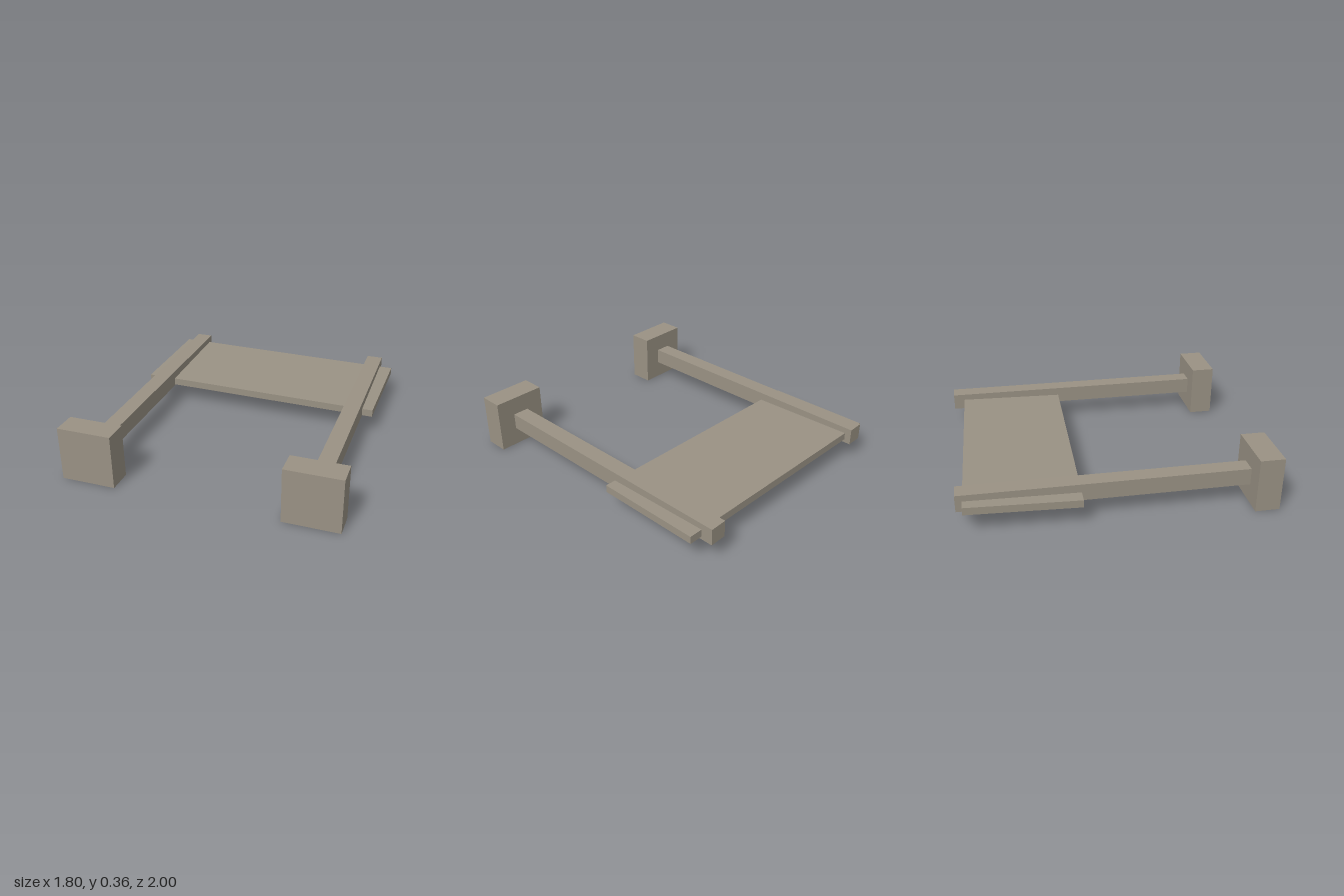
import * as THREE from 'three';

export function createModel() {
  const model = new THREE.Group();
  const concrete = new THREE.MeshStandardMaterial({ color: 0x9a9284 });
  concrete.name = 'warm grey';
  const yellow = new THREE.MeshStandardMaterial({ color: 0xd0a52e });
  yellow.name = 'yellow';
  const red = new THREE.MeshStandardMaterial({ color: 0xb02020 });
  red.name = 'red';

  const box = (name, material, size, position) => {
    const mesh = new THREE.Mesh(new THREE.BoxGeometry(...size), material);
    mesh.name = name;
    mesh.position.set(...position);
    model.add(mesh);
    return mesh;
  };

  // Mirrored posts, lying back from their foot blocks
  for (const [side, s] of [['left', 1], ['right', -1]]) {
    box(side + 'Foot', concrete, [0.36, 0.36, 0.16], [s * 0.72, 0.18, 0.92]);
    box(side + 'Post', concrete, [0.112, 0.112, 1.84], [s * 0.72, 0.18, -0.08]);
  }

  // Sign board, slightly twisted and tilted between the posts
  const board = box('signBoard', concrete, [1.715, 0.05, 0.72], [0, 0.1625, -0.58]);
  board.rotation.set(0.02, -0.0235, 0);

  // Painted stripes on the underside of the board
  box('yellowStripe', yellow, [1.6, 0.018, 0.125], [0, 0.137, -0.69]);
  const slash = box('redSlash', red, [1.27, 0.02, 0.05], [-0.03, 0.134, -0.47]);
  slash.rotation.y = -0.342;

  return model;
}
